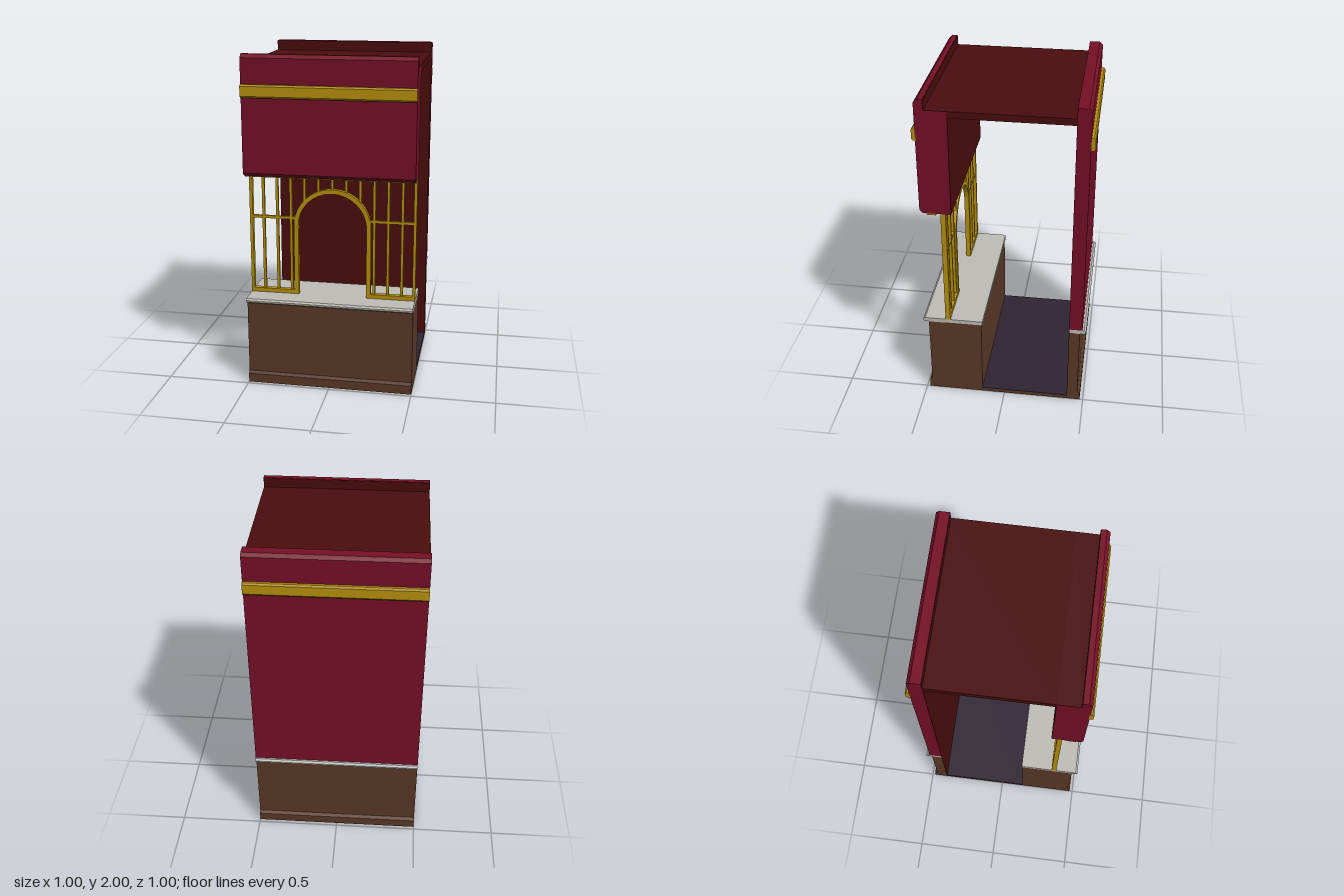
import * as THREE from 'three';

const mat = (name, color) => {
  const m = new THREE.MeshStandardMaterial({ color });
  m.name = name;
  return m;
};

export function createModel() {
  const crimson = mat('crimson wall', 0x760f26);
  const darkRed = mat('dark red interior', 0x4a0d0d);
  const brown = mat('brown wood', 0x5a3927);
  const gold = mat('gold trim', 0xb8920c);
  const marble = mat('pale marble', 0xbfbdb8);
  const floorDark = mat('dark floor', 0x2f2533);

  const model = new THREE.Group();
  model.name = 'counterBooth';

  const add = (name, geo, material, parent = model) => {
    const mesh = new THREE.Mesh(geo, material);
    mesh.name = name;
    parent.add(mesh);
    return mesh;
  };
  // Box given by its lower and upper corners
  const box = (name, material, [x0, y0, z0], [x1, y1, z1], parent) =>
    add(name, new THREE.BoxGeometry(x1 - x0, y1 - y0, z1 - z0)
      .translate((x0 + x1) / 2, (y0 + y1) / 2, (z0 + z1) / 2), material, parent);
  // Full-width moulding from a (z, y) profile
  const moulding = (name, material, points) => {
    const shape = new THREE.Shape(points.map(([z, y]) => new THREE.Vector2(z, y)));
    const geo = new THREE.ExtrudeGeometry(shape, { depth: 1, bevelEnabled: false });
    return add(name, geo.rotateY(-Math.PI / 2).translate(0.5, 0, 0), material);
  };

  // Wooden counter, rear base and floor
  moulding('counter', brown, [[0.14, 0], [0.48, 0], [0.48, 0.055], [0.465, 0.07], [0.465, 0.525], [0.14, 0.525]]);
  moulding('rearBase', brown, [[-0.4, 0], [-0.48, 0], [-0.48, 0.055], [-0.463, 0.07], [-0.463, 0.525], [-0.4, 0.525]]);
  box('floorSlab', brown, [-0.5, 0, -0.4], [0.5, 0.022, 0.14]);
  box('floorSurface', floorDark, [-0.5, 0.022, -0.4], [0.5, 0.026, 0.14]);

  // Marble slabs with chamfered noses
  moulding('counterTop', marble, [[0.133, 0.523], [0.488, 0.523], [0.5, 0.532], [0.5, 0.541], [0.488, 0.55], [0.133, 0.55]]);
  moulding('rearSill', marble, [[-0.4, 0.523], [-0.488, 0.523], [-0.5, 0.532], [-0.5, 0.541], [-0.488, 0.55], [-0.4, 0.55]]);

  // Crimson rear wall and front header with chamfered edges
  moulding('rearWall', crimson, [[-0.4, 0.55], [-0.477, 0.55], [-0.477, 1.982], [-0.458, 2], [-0.4, 2]]);
  moulding('frontHeader', crimson, [[0.3, 1.3], [0.46, 1.3], [0.48, 1.32], [0.48, 1.98], [0.46, 2], [0.43, 2], [0.43, 1.937], [0.3, 1.937]]);

  // Dark interior linings and roof
  box('rearLining', darkRed, [-0.5, 0.026, -0.4], [0.5, 1.998, -0.397]);
  box('headerLining', darkRed, [-0.5, 1.3, 0.297], [0.5, 1.9, 0.3]);
  box('parapetLining', darkRed, [-0.5, 1.94, 0.426], [0.5, 1.998, 0.43]);
  box('roof', darkRed, [-0.5, 1.9, -0.397], [0.5, 1.94, 0.3]);
  box('roofEdge', darkRed, [-0.5, 1.937, 0.3], [0.5, 1.94, 0.43]);

  // Gold bands on both faces, and the strip below the header
  for (const s of [1, -1]) {
    moulding(s > 0 ? 'frontBand' : 'rearBand', gold, [[0.475, 1.757], [0.492, 1.757], [0.5, 1.767],
      [0.5, 1.823], [0.492, 1.833], [0.475, 1.833]].map(([z, y]) => [s * z, y]));
  }
  box('headerStrip', gold, [-0.5, 1.29, 0.385], [0.5, 1.3, 0.44]);

  // Gold grille above the counter
  const grille = new THREE.Group();
  grille.name = 'grille';
  model.add(grille);
  const back = 0.33, front = 0.36, spring = 0.98, inner = 0.205, outer = 0.232;

  // Arch with legs cut as one piece
  const arch = new THREE.Shape();
  arch.moveTo(outer, 0.55);
  arch.lineTo(outer, spring);
  arch.absarc(0, spring, outer, 0, Math.PI, false);
  arch.lineTo(-outer, 0.55);
  arch.lineTo(-inner, 0.55);
  arch.lineTo(-inner, spring);
  arch.absarc(0, spring, inner, Math.PI, 0, true);
  arch.lineTo(inner, 0.55);
  add('archFrame', new THREE.ExtrudeGeometry(arch, { depth: front - back, bevelEnabled: false, curveSegments: 16 })
    .translate(0, 0, back), gold, grille);

  // Rails and posts, mirrored
  box('topRail', gold, [-0.5, 1.28, back], [0.5, 1.3, front], grille);
  for (const s of [1, -1]) {
    const bar = (name, x0, x1, y0, y1, z0, z1) =>
      box(name, gold, [Math.min(s * x0, s * x1), y0, z0], [Math.max(s * x0, s * x1), y1, z1], grille);
    bar('endPost', 0.482, 0.5, 0.55, 1.28, back, front);
    bar('bottomRail', 0.225, 0.5, 0.55, 0.575, back, front);
    bar('middleRail', 0.225, 0.5, 1.018, 1.034, 0.336, 0.354);
    for (const x of [0.25, 0.333, 0.417]) bar('longBar', x - 0.008, x + 0.008, 0.56, 1.29, 0.337, 0.353);
  }

  // Short bars standing on the arch
  for (const x of [-0.167, -0.083, 0, 0.083, 0.167]) {
    const y = spring + Math.sqrt(0.22 ** 2 - x * x);
    box('shortBar', gold, [x - 0.008, y, 0.337], [x + 0.008, 1.29, 0.353], grille);
  }
  return model;
}
